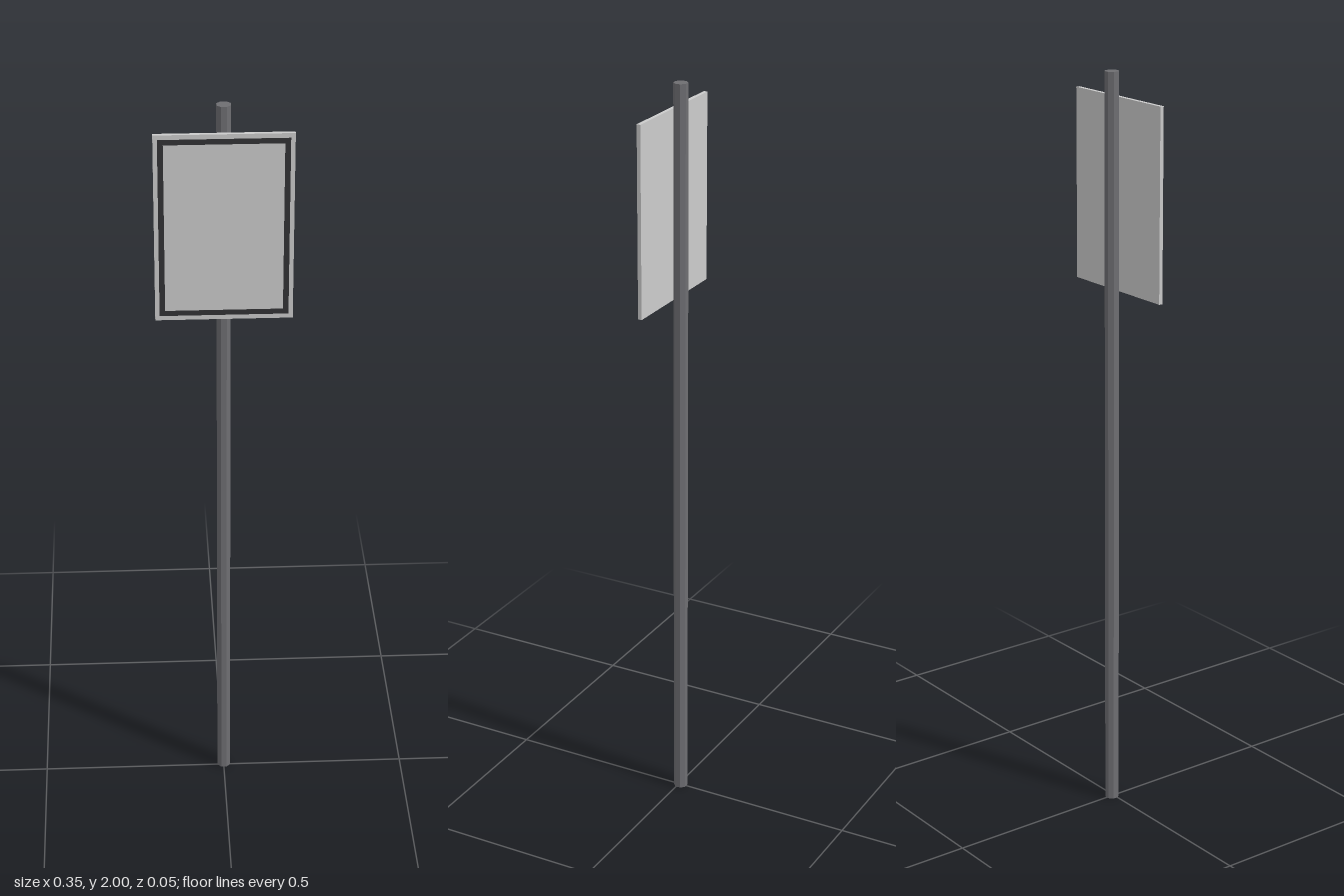
import * as THREE from 'three';

const paint = (color) => new THREE.MeshStandardMaterial({ color, flatShading: true });

function rectangle(Path, w, h) {
  const p = new Path();
  p.moveTo(-w / 2, -h / 2);
  p.lineTo(w / 2, -h / 2);
  p.lineTo(w / 2, h / 2);
  p.lineTo(-w / 2, h / 2);
  p.closePath();
  return p;
}

export function createModel() {
  const group = new THREE.Group();
  const add = (name, geometry, color, x, y, z) => {
    const mesh = new THREE.Mesh(geometry, paint(color));
    mesh.name = name;
    mesh.position.set(x, y, z);
    group.add(mesh);
  };

  // Eight-sided pole with a flat face towards the panel
  const flat = 0.0175;
  const pole = new THREE.CylinderGeometry(flat / Math.cos(Math.PI / 8), flat / Math.cos(Math.PI / 8), 2, 8);
  pole.rotateY(Math.PI / 8);
  add('pole', pole, 0x6e6e72, 0, 1, -0.0053);

  // Sign panel fixed to the front of the pole
  const panelY = 1.684;
  add('signPanel', new THREE.BoxGeometry(0.346, 0.5, 0.0102), 0xcccccc, 0, panelY, 0.0173);

  // Dark border line, set in from the panel edge
  const border = rectangle(THREE.Shape, 0.324, 0.476);
  border.holes.push(rectangle(THREE.Path, 0.296, 0.448));
  const borderGeometry = new THREE.ExtrudeGeometry(border, { depth: 0.0008, bevelEnabled: false });
  add('signBorder', borderGeometry, 0x333335, 0, panelY, 0.0221);

  return group;
}
